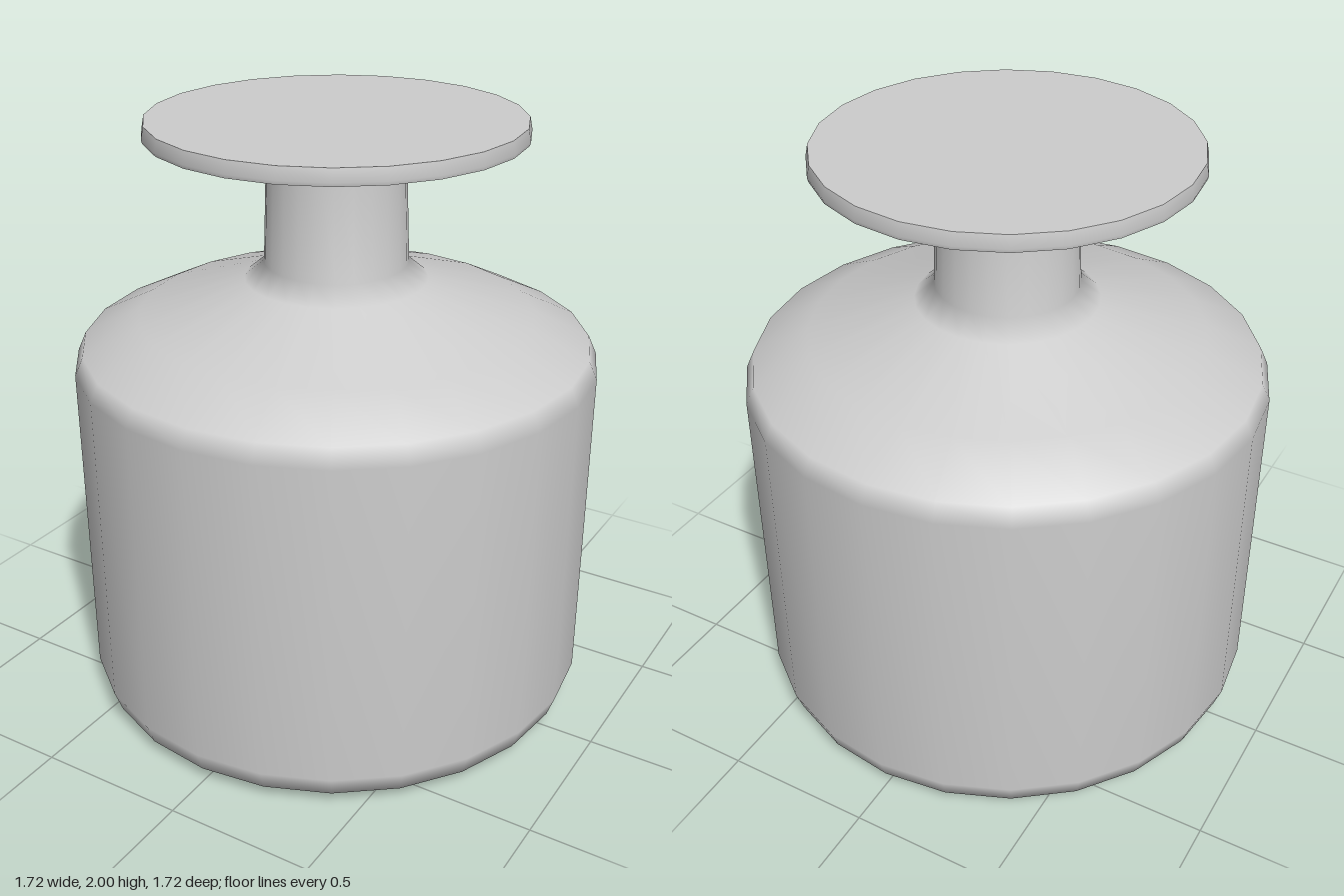
import * as THREE from 'three';
import { toCreasedNormals } from 'three/addons/utils/BufferGeometryUtils.js';

export function createModel() {
  const bottle = new THREE.Group();
  bottle.name = 'bottle';

  const grey = new THREE.MeshStandardMaterial({ color: 0xcccccc });
  grey.name = 'light grey';

  // Turns a profile of [radius, height] pairs, listed from bottom to top
  function turn(name, profile, crease) {
    const points = profile.map(([r, y]) => new THREE.Vector2(r, y));
    let geometry = new THREE.LatheGeometry(points, 24);
    if (crease) geometry = toCreasedNormals(geometry, crease);
    const mesh = new THREE.Mesh(geometry, grey);
    mesh.name = name;
    bottle.add(mesh);
  }

  // Flat underside
  turn('base', [[0, 0], [0.75, 0]]);

  // Round body with bevelled foot, sloping shoulder and neck
  turn('body', [
    [0.75, 0], [0.835, 0.05], [0.86, 0.12], [0.862, 1.21], [0.835, 1.27],
    [0.65, 1.36], [0.3, 1.475], [0.235, 1.53], [0.22, 1.93],
  ]);

  // Wide thin lip with a closed flat top
  turn('lip', [[0.2, 1.925], [0.32, 1.93], [0.605, 1.948], [0.608, 1.96], [0.6, 2], [0, 2]], 0.6);

  return bottle;
}
